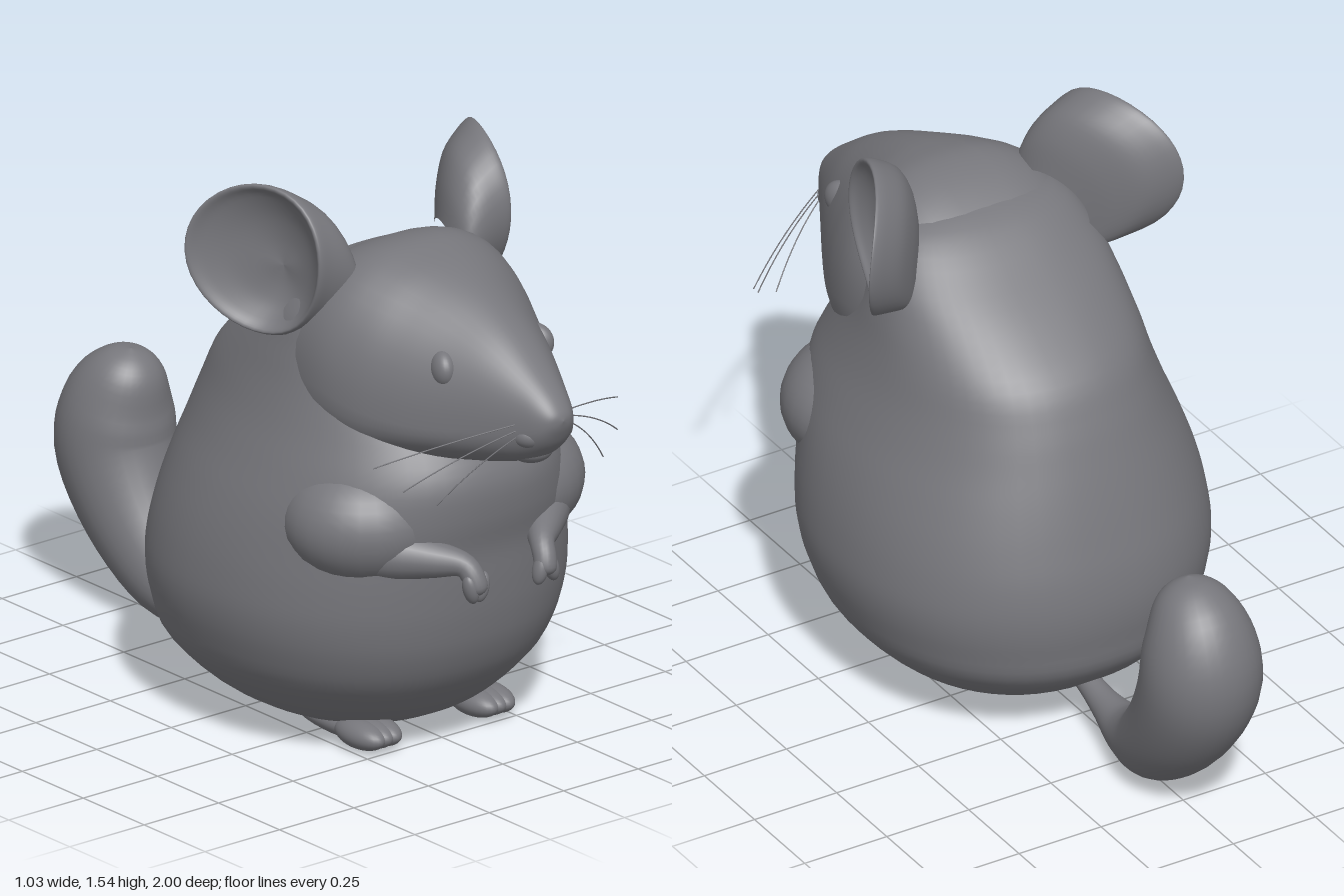
import * as THREE from 'three';

const fur = new THREE.MeshStandardMaterial({ color: 0x77777c });
fur.name = 'grey';
const V = (x, y, z) => new THREE.Vector3(x, y, z);

// Resample a table of section values smoothly into n + 1 rows
function dense(table, n) {
  const curves = table[0].map((_, c) => new THREE.SplineCurve(table.map((r, i) => new THREE.Vector2(i, r[c]))));
  return Array.from({ length: n + 1 }, (_, i) => curves.map((c) => c.getPoint(i / n).y));
}

// Skin a list of closed rings; rings advance along the outward-wound axis
function skin(name, rings) {
  const m = rings[0].length, index = [];
  for (let i = 0; i < rings.length - 1; i++) {
    for (let j = 0; j < m; j++) {
      const a = i * m + j, b = i * m + (j + 1) % m;
      index.push(a, b, b + m, a, b + m, a + m);
    }
  }
  const g = new THREE.BufferGeometry().setFromPoints(rings.flat());
  g.setIndex(index);
  g.computeVertexNormals();
  const mesh = new THREE.Mesh(g, fur);
  mesh.name = name;
  return mesh;
}

function ring(m, f) {
  return Array.from({ length: m }, (_, j) => {
    const a = (j / m) * Math.PI * 2;
    return f(Math.cos(a), Math.sin(a));
  });
}
const soft = (v, p) => Math.sign(v) * Math.pow(Math.abs(v), p);

// Round limb through rows of x, y, z, radius
function limb(name, rows, ref, n = 28, m = 20) {
  const d = dense(rows, n), pts = d.map((r) => V(r[0], r[1], r[2]));
  return skin(name, pts.map((p, i) => {
    const t = pts[Math.min(i + 1, n)].clone().sub(pts[Math.max(i - 1, 0)]).normalize();
    const u = ref.clone().cross(t).normalize(), v = t.clone().cross(u);
    const r = Math.max(d[i][3], 0);
    return ring(m, (c, s) => p.clone().addScaledVector(u, c * r).addScaledVector(v, s * r));
  }));
}

function blob(name, pos, size, rot = [0, 0, 0]) {
  const mesh = new THREE.Mesh(new THREE.SphereGeometry(1, 28, 20), fur);
  mesh.name = name;
  mesh.position.set(...pos);
  mesh.scale.set(...size);
  mesh.rotation.set(...rot);
  return mesh;
}

// Cupped ear: outer shell from the head to the rim, then the bowl inside.
// The rim curls outward toward the back.
function ear(s) {
  const rows = [ // centre x, y, z, size
    [0.2, 1.2, 0.26, 0.62], [0.225, 1.25, 0.245, 0.8], [0.27, 1.295, 0.225, 0.94], [0.33, 1.325, 0.213, 1.01],
    [0.366, 1.337, 0.21, 1.03], [0.372, 1.337, 0.21, 0.98], [0.35, 1.335, 0.21, 0.86], [0.32, 1.325, 0.212, 0.6],
    [0.302, 1.315, 0.215, 0.3], [0.298, 1.31, 0.215, 0],
  ];
  const rings = dense(rows, 40).map(([x, y, z, k]) => ring(40, (c, w) => {
    const curl = 0.155 * Math.pow((1 - c) / 2, 2) - 0.05;
    return V(s * (x + k * curl), y + k * 0.202 * w, z - k * 0.178 * -c * (1 + 0.1 * w));
  }));
  // One side needs its rings reversed to keep faces outward
  return skin(s > 0 ? 'leftEar' : 'rightEar', s > 0 ? rings.map((r) => r.reverse()) : rings);
}

export function createModel() {
  const model = new THREE.Group();

  // Body: y, half width, back z, front z
  const body = [
    [0.035, 0, 0.15, 0.15], [0.04, 0.2, -0.03, 0.38], [0.085, 0.33, -0.23, 0.5], [0.2, 0.45, -0.37, 0.62],
    [0.3, 0.495, -0.4, 0.675], [0.4, 0.515, -0.41, 0.7], [0.5, 0.51, -0.4, 0.712], [0.6, 0.492, -0.375, 0.72],
    [0.7, 0.463, -0.345, 0.74], [0.8, 0.425, -0.31, 0.74], [0.9, 0.388, -0.27, 0.69], [1.0, 0.36, -0.215, 0.62],
    [1.1, 0.338, -0.1, 0.54], [1.2, 0.31, 0.04, 0.48], [1.29, 0.23, 0.17, 0.43], [1.33, 0, 0.3, 0.3],
  ];
  model.add(skin('body', dense(body, 60).map(([y, w, b, f]) => ring(56, (c, s) =>
    V(Math.max(w, 0) * soft(c, 0.88), y, (b + f) / 2 - ((f - b) / 2) * soft(s, 0.94))))));

  // Head: z, half width, top, widest height, bottom, squareness
  const head = [
    [0.05, 0, 1.1, 1.05, 1.0, 0.9], [0.12, 0.25, 1.22, 1.05, 0.85, 0.8], [0.2, 0.31, 1.295, 1.05, 0.8, 0.75],
    [0.3, 0.333, 1.35, 1.04, 0.79, 0.75], [0.4, 0.335, 1.37, 1.03, 0.79, 0.78], [0.5, 0.312, 1.353, 1.0, 0.8, 0.88],
    [0.6, 0.268, 1.322, 0.98, 0.825, 1.05], [0.7, 0.214, 1.278, 0.975, 0.85, 1.1], [0.8, 0.157, 1.22, 0.985, 0.872, 1],
    [0.9, 0.1, 1.145, 1.0, 0.905, 0.9], [0.96, 0.065, 1.095, 1.015, 0.95, 0.9], [0.99, 0.035, 1.06, 1.03, 1.0, 0.9],
    [1.0, 0, 1.036, 1.035, 1.034, 0.9],
  ];
  model.add(skin('head', dense(head, 60).map(([z, w, t, c0, b, p]) => ring(48, (c, s) =>
    V(Math.max(w, 0) * soft(c, p), c0 + (s > 0 ? t - c0 : c0 - b) * soft(s, 0.9), z)))));

  model.add(blob('nose', [0, 1.035, 0.955], [0.05, 0.035, 0.043]));
  model.add(blob('chin', [0, 0.925, 0.865], [0.06, 0.04, 0.06]));

  for (const s of [1, -1]) {
    const side = s > 0 ? 'left' : 'right';
    model.add(ear(s));
    model.add(blob(side + 'Eye', [s * 0.157, 1.13, 0.695], [0.034, 0.05, 0.05], [0, s * 0.4, 0]));
    model.add(blob(side + 'Muzzle', [s * 0.042, 0.985, 0.905], [0.05, 0.04, 0.055]));
    model.add(blob(side + 'Shoulder', [s * 0.24, 0.67, 0.475], [0.22, 0.17, 0.2], [0, s * 0.5, 0]));

    // Arm ending in a drooping paw
    model.add(limb(side + 'Arm', [
      [s * 0.39, 0.64, 0.38, 0], [s * 0.36, 0.63, 0.44, 0.07], [s * 0.27, 0.615, 0.58, 0.075],
      [s * 0.19, 0.605, 0.68, 0.053], [s * 0.135, 0.595, 0.745, 0.034], [s * 0.12, 0.565, 0.775, 0.031],
      [s * 0.115, 0.53, 0.785, 0.028], [s * 0.113, 0.515, 0.785, 0],
    ], V(s, 0, 1)));
    for (const k of [-1, 1]) {
      model.add(blob(side + 'Finger', [s * (0.117 + k * 0.018), 0.535, 0.783], [0.02, 0.042, 0.023], [0, 0, k * 0.25]));
    }

    // Flat hind foot with shallow toes
    model.add(blob(side + 'Foot', [s * 0.185, 0.047, 0.32], [0.058, 0.037, 0.19]));
    for (const k of [-1, 0, 1]) {
      model.add(blob(side + 'Toe', [s * 0.19 + k * 0.027, 0.048, 0.43], [0.046, 0.038, 0.09]));
    }

    // Whiskers
    [[0.41, 0.92, 0.72], [0.36, 0.86, 0.78], [0.28, 0.815, 0.82]].forEach(([x, y, z], i) => {
      const start = V(s * 0.075, 1.025 - i * 0.015, 0.92);
      const mid = V(s * (x * 0.55 + 0.03), (y + 1.03) / 2 + 0.012, (z + 0.92) / 2 + 0.01);
      const path = new THREE.QuadraticBezierCurve3(start, mid, V(s * x, y, z));
      const whisker = new THREE.Mesh(new THREE.TubeGeometry(path, 12, 0.0018, 5), fur);
      whisker.name = side + 'Whisker';
      model.add(whisker);
    });
  }

  // Tail curling upward into a thick brush
  model.add(limb('tail', [
    [0, 0.14, -0.18, 0.03], [0, 0.115, -0.28, 0.033], [0, 0.09, -0.38, 0.045], [0, 0.08, -0.49, 0.073],
    [0, 0.128, -0.62, 0.112], [0, 0.26, -0.75, 0.143], [0, 0.42, -0.835, 0.161], [0, 0.54, -0.83, 0.15],
    [0, 0.64, -0.795, 0.108], [0, 0.69, -0.78, 0.06], [0, 0.71, -0.775, 0],
  ], V(1, 0, 0), 44, 32));

  return model;
}
